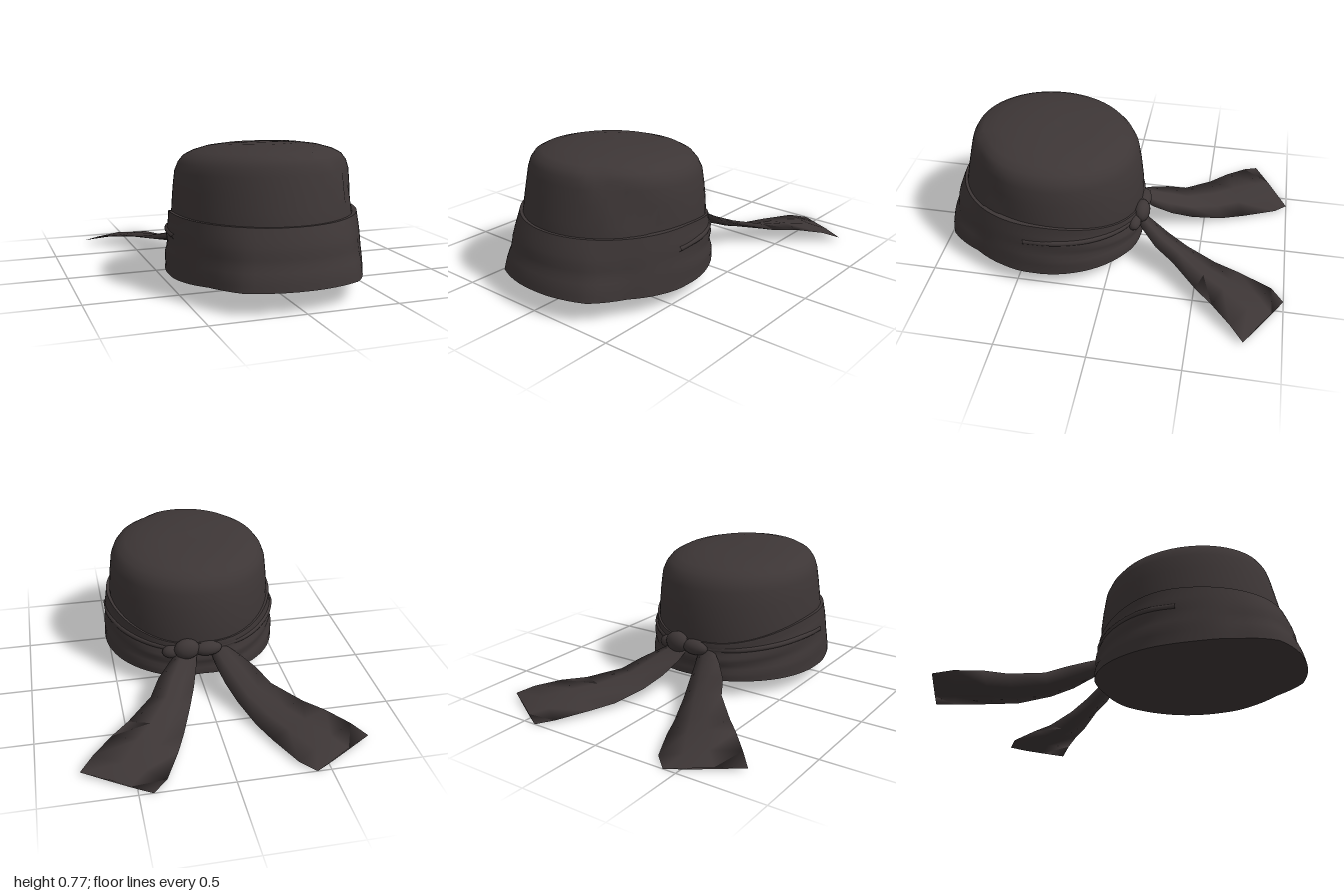
import * as THREE from 'three';

const { lerp, smoothstep } = THREE.MathUtils;
const SEG = 72;

// Joins rings of points (each a closed loop, listed bottom to top) into one smooth skin.
function loft(rings) {
  const n = rings[0].length, pos = [], idx = [];
  rings.forEach(r => r.forEach(p => pos.push(...p)));
  for (let i = 0; i < rings.length - 1; i++) {
    for (let j = 0; j < n; j++) {
      const a = i * n + j, b = i * n + (j + 1) % n;
      idx.push(a, b, b + n, a, b + n, a + n);
    }
  }
  const g = new THREE.BufferGeometry();
  g.setAttribute('position', new THREE.Float32BufferAttribute(pos, 3));
  g.setIndex(idx);
  g.computeVertexNormals();
  return g;
}

// One ring around the head; t runs from the front (0) towards +x.
function ring(fn) {
  return Array.from({ length: SEG }, (_, j) => {
    const t = j / SEG * Math.PI * 2;
    return fn(t, Math.min(t, Math.PI * 2 - t));
  });
}

// Half outline of the brim edge (x, z), pointed at the front corners.
const CZ = 0.4;
const brim = [[0, 1], [0.17, 0.98], [0.31, 0.925], [0.42, 0.75], [0.5, 0.57], [0.525, 0.4],
  [0.495, 0.2], [0.4, 0.02], [0.22, -0.125], [0, -0.15]]
  .map(([x, z]) => [Math.atan2(x, z - CZ), Math.hypot(x, z - CZ)]);

function brimRadius(a) {
  for (let i = 1; i < brim.length; i++) {
    const [a0, r0] = brim[i - 1], [a1, r1] = brim[i];
    if (a <= a1 + 1e-6) return lerp(r0, r1, (a - a0) / (a1 - a0));
  }
  return brim[brim.length - 1][1];
}

// Height of the brim edge, and of the band's upper edge, which dips to the knot.
const lowY = a => 0.09 + 0.03 * smoothstep(Math.cos(a), 0.1, 1) + 0.008 * smoothstep(-Math.cos(a), 0.3, 1);
const highY = a => 0.415 - 0.105 * smoothstep(a, 1.5, 2.9);

function bandPoint(t, a, v, inset = 0) {
  const r = brimRadius(a);
  const fold = 0.007 * Math.sin(v * 15 + a * 2.2) * smoothstep(a, 0.9, 2.2) * Math.sin(v * Math.PI)
    - 0.01 * Math.exp(-Math.pow((v - 0.42) / 0.14, 2)) * (1 - smoothstep(a, 0.5, 1.3));
  const k = v * v * 0.45 + v * 0.55;
  const x = lerp(r * Math.sin(t), 0.502 * Math.sin(t), k);
  const z = lerp(CZ + r * Math.cos(t), 0.378 + 0.53 * Math.cos(t), k);
  const s = fold - inset;
  return [x + s * Math.sin(t), lerp(lowY(a), highY(a), v), z + s * Math.cos(t)];
}

function makeBand() {
  const rings = [];
  for (let i = 0; i <= 10; i++) rings.push(ring((t, a) => bandPoint(t, a, i / 10)));
  return loft(rings);
}

// Narrow lip closing the band onto the crown.
const makeLip = () => loft([0, 0.035].map(d => ring((t, a) => bandPoint(t, a, 1, d))));

// Crown sections: front height, back height, half width, front z, back z.
const crownRows = [
  [0.3, 0.2, 0.492, 0.905, -0.142], [0.4, 0.32, 0.488, 0.895, -0.142],
  [0.48, 0.41, 0.482, 0.88, -0.14], [0.57, 0.51, 0.474, 0.86, -0.128],
  [0.65, 0.6, 0.464, 0.842, -0.112], [0.695, 0.645, 0.447, 0.828, -0.09],
  [0.728, 0.68, 0.42, 0.808, -0.062], [0.75, 0.707, 0.375, 0.77, -0.015],
  [0.768, 0.732, 0.3, 0.69, 0.06], [0.778, 0.75, 0.2, 0.58, 0.16],
  [0.778, 0.76, 0.1, 0.48, 0.27], [0.773, 0.773, 0, 0.375, 0.375],
];

function makeCrown() {
  return loft(crownRows.map(([yf, yb, w, zf, zb]) => ring(t => {
    const c = (zf + zb) / 2, d = (zf - zb) / 2, mix = (1 + Math.cos(t)) / 2;
    const y = lerp(yb, yf, mix);
    // diagonal crease where the cloth is folded over on one side of the front
    const line = lerp(1.05, 0.42, (y - 0.43) / 0.33);
    const tuck = t < Math.PI ? -0.014 * smoothstep(t, line - 0.09, line)
      * (1 - smoothstep(t, line, line + 0.6)) * (w > 0.3 ? 1 : 0) : 0;
    return [(w + tuck) * Math.sin(t), y, c + (d + tuck) * Math.cos(t)];
  })));
}

// Flat underside.
function makeUnderside() {
  return loft([ring(() => [0, 0.098, CZ]), ring((t, a) => bandPoint(t, a, 0))]);
}

// Tail sections: inner edge x, y, z, outer edge x, y, z, half thickness.
const tailRows = [
  [0.04, 0.24, -0.14, 0.15, 0.25, -0.13, 0.025],
  [0.055, 0.19, -0.2, 0.2, 0.225, -0.17, 0.022],
  [0.09, 0.125, -0.31, 0.285, 0.175, -0.26, 0.02],
  [0.135, 0.075, -0.43, 0.345, 0.13, -0.365, 0.018],
  [0.2, 0.035, -0.6, 0.49, 0.09, -0.51, 0.016],
  [0.255, 0.03, -0.74, 0.59, 0.085, -0.61, 0.014],
  [0.345, 0.022, -0.93, 0.7, 0.06, -0.72, 0.01],
  [0.425, 0.006, -1, 0.775, 0.024, -0.795, 0.004],
];

function makeTail(side) {
  const rings = tailRows.map(([ix, iy, iz, ox, oy, oz, h]) => {
    const at = (k, dy) => [side * lerp(ix, ox, k), Math.max(0, lerp(iy, oy, k) + dy), lerp(iz, oz, k)];
    const loop = [at(0, 0), at(0.3, h * 0.5), at(0.6, h * 1.3), at(1, 0), at(0.6, -h * 0.7), at(0.3, -h)];
    return side > 0 ? loop : loop.reverse();
  });
  return loft(rings);
}

export function createModel() {
  const cloth = new THREE.MeshStandardMaterial({ color: 0x3d3636, side: THREE.DoubleSide });
  cloth.name = 'dark cloth';
  const hat = new THREE.Group();
  hat.name = 'headscarf';
  const add = (name, geometry) => {
    const m = new THREE.Mesh(geometry, cloth);
    m.name = name;
    hat.add(m);
    return m;
  };

  add('crown', makeCrown());
  add('band', makeBand());
  add('bandLip', makeLip());
  add('underside', makeUnderside());
  add('leftTail', makeTail(1));
  add('rightTail', makeTail(-1));

  // Knot: a wrapped centre with a smaller bunch of cloth on each side
  [['knotCentre', 0.1, 0.28, -0.15, 0.075, 0.062, 0.05], ['knotBunch', -0.02, 0.27, -0.145, 0.085, 0.045, 0.045],
    ['knotSide', 0.18, 0.255, -0.12, 0.06, 0.04, 0.04]].forEach(([name, x, y, z, sx, sy, sz]) => {
    const m = add(name, new THREE.SphereGeometry(1, 16, 10));
    m.position.set(x, y, z);
    m.scale.set(sx, sy, sz);
  });

  // Gathered folds running along the band into the knot
  for (const side of [1, -1]) {
    const path = new THREE.CatmullRomCurve3([[3.0, 0.8], [2.6, 0.8], [2.2, 0.74], [1.8, 0.7], [1.45, 0.66]].map(([a, v]) => {
      const p = bandPoint(side * a, a, v, 0.006);
      return new THREE.Vector3(...p);
    }));
    add(side > 0 ? 'leftFold' : 'rightFold', new THREE.TubeGeometry(path, 24, 0.016, 8));
  }
  return hat;
}
